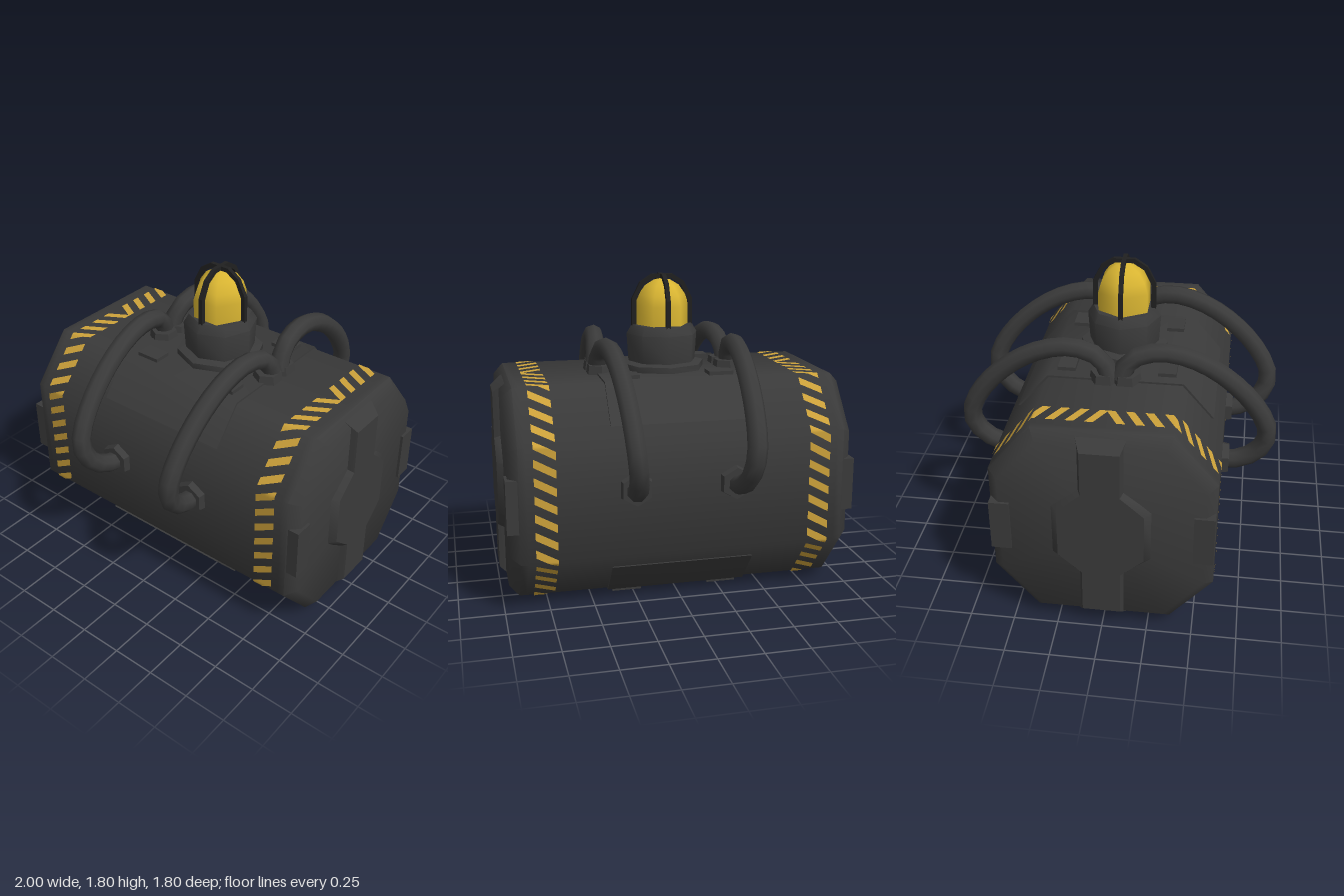
import * as THREE from 'three';
import { mergeGeometries, toCreasedNormals } from 'three/addons/utils/BufferGeometryUtils.js';

const MID = 0.645; // height of the tank axis

// Octagonal section as [z, y], starting under the axis and climbing the front
const OCTAGON = [[0.37, 0.045], [0.605, 0.32], [0.605, 0.97], [0.37, 1.245],
  [-0.37, 1.245], [-0.605, 0.97], [-0.605, 0.32], [-0.37, 0.045]];

// Closed solid along x: each ring is [x, scaleZ, scaleY] applied to the outline
function loft(outline, rings, crease = 0.95) {
  const n = outline.length, pos = [], idx = [];
  for (const [x, sz, sy] of rings)
    for (const [z, y] of outline) pos.push(x, MID + (y - MID) * sy, z * sz);
  for (let r = 0; r < rings.length - 1; r++)
    for (let i = 0; i < n; i++) {
      const a = r * n + i, b = r * n + (i + 1) % n;
      idx.push(a, a + n, b, b, a + n, b + n);
    }
  const last = (rings.length - 1) * n, c = rings.length * n;
  const cy = outline.reduce((s, p) => s + p[1], 0) / n;
  pos.push(rings[0][0], cy, 0, rings.at(-1)[0], cy, 0);
  for (let i = 0; i < n; i++) {
    const j = (i + 1) % n;
    idx.push(c, i, j, c + 1, last + j, last + i);
  }
  const g = new THREE.BufferGeometry();
  g.setAttribute('position', new THREE.Float32BufferAttribute(pos, 3));
  g.setIndex(idx);
  return toCreasedNormals(g, crease);
}

// Point on the tank skin at distance s round the section, from the bottom centre
function skinPoint(s) {
  const loop = [[0, 0.045], ...OCTAGON, [0, 0.045]];
  for (let i = 0; i < loop.length - 1; i++) {
    const [z0, y0] = loop[i], [z1, y1] = loop[i + 1];
    const len = Math.hypot(z1 - z0, y1 - y0);
    if (s <= len || i === loop.length - 2) {
      const t = s / len;
      return [z0 + (z1 - z0) * t, y0 + (y1 - y0) * t];
    }
    s -= len;
  }
}

// Slanted paint marks bent round the tank
function stripeBand(x) {
  const marks = [], total = 4.218, perHalf = 21, step = total / 2 / perHalf;
  for (let k = 0; k < perHalf * 2; k++) {
    const g = new THREE.PlaneGeometry(0.12, 0.046, 6, 6);
    const p = g.attributes.position;
    const slant = k < perHalf ? 0.55 : -0.55;
    for (let i = 0; i < p.count; i++) {
      const s = (k + 0.5) * step + p.getY(i) + p.getX(i) * slant;
      const [z, y] = skinPoint((s + total) % total);
      p.setXYZ(i, x + p.getX(i), MID + (y - MID) * 1.009, z * 1.009);
    }
    g.computeVertexNormals();
    marks.push(g);
  }
  return mergeGeometries(marks);
}

export function createModel() {
  const model = new THREE.Group();
  const mat = (name, color) => {
    const m = new THREE.MeshStandardMaterial({ color });
    m.name = name;
    return m;
  };
  const shell = mat('charcoal shell', 0x3a3a3a);
  const black = mat('black metal', 0x202020);
  const paint = mat('hazard yellow', 0xcda23a);
  const glass = mat('amber glass', 0xd9b532);

  const add = (name, geometry, material, x = 0, y = 0, z = 0, parent = model) => {
    const mesh = new THREE.Mesh(geometry, material);
    mesh.name = name;
    mesh.position.set(x, y, z);
    parent.add(mesh);
    return mesh;
  };

  // Tank with chamfered ends
  add('tank', loft(OCTAGON, [[-0.965, 0.91, 0.91], [-0.91, 1, 1], [-0.87, 1, 1],
    [0.87, 1, 1], [0.91, 1, 1], [0.965, 0.91, 0.91]]), shell);

  // Raised rib and side clasps on each end
  const rib = [[0.13, 0.05], [0.13, 0.35], [0.29, 0.48], [0.29, 0.81], [0.13, 0.94], [0.13, 1.24],
    [-0.13, 1.24], [-0.13, 0.94], [-0.29, 0.81], [-0.29, 0.48], [-0.13, 0.35], [-0.13, 0.05]];
  for (const side of [1, -1]) {
    const end = new THREE.Group();
    end.name = side > 0 ? 'leftEnd' : 'rightEnd';
    end.rotation.y = side > 0 ? 0 : Math.PI;
    model.add(end);
    add('endRib', loft(rib, [[0.9, 1, 1], [0.94, 1, 0.965], [1, 0.8, 0.88]], 0.7), shell, 0, 0, 0, end);
    for (const z of [-0.545, 0.545])
      add('endClasp', new THREE.BoxGeometry(0.07, 0.3, 0.11), shell, 0.945, MID, z, end);
    add('hazardStripes', stripeBand(side * 0.77), paint);
  }

  // Wrapped panels above and below
  const topPanel = [[0.55, 1.05], [0.376, 1.256], [-0.376, 1.256], [-0.55, 1.05]];
  const bottomPanel = topPanel.map(([z, y]) => [z, 2 * MID - y]).reverse();
  add('topPanel', loft(topPanel, [[-0.405, 1, 1], [0.405, 1, 1]]), shell);
  add('bottomPanel', loft(bottomPanel, [[-0.405, 1, 1], [0.405, 1, 1]]), shell);

  // Hoses with hexagonal sockets, small top pads and feet, in each quarter
  const path = [[0.03, 1.26], [0.07, 1.36], [0.15, 1.405], [0.27, 1.42], [0.43, 1.38], [0.6, 1.28],
    [0.76, 1.12], [0.845, 0.96], [0.84, 0.86], [0.79, 0.78], [0.7, 0.72], [0.6, 0.7]];
  const socket = (r, h) => toCreasedNormals(new THREE.CylinderGeometry(r * 0.9, r, h, 6), 0.5);
  for (const sx of [-1, 1])
    for (const sz of [-1, 1]) {
      const points = path.map(([z, y], i) =>
        new THREE.Vector3(sx * (0.395 - 0.115 * i / (path.length - 1)), y, sz * z));
      add('hose', new THREE.TubeGeometry(new THREE.CatmullRomCurve3(points), 18, 0.055, 8), shell);
      add('topSocket', socket(0.085, 0.05), shell, sx * 0.38, 1.27, sz * 0.06);
      add('sideSocket', socket(0.1, 0.05), shell, sx * 0.28, 0.71, sz * 0.62).rotation.x = sz * Math.PI / 2;
      add('topPad', new THREE.BoxGeometry(0.14, 0.03, 0.1), shell, sx * 0.27, 1.262, sz * 0.28);
      add('foot', new THREE.BoxGeometry(0.17, 0.06, 0.115), shell, sx * 0.285, 0.03, sz * 0.27);
    }

  // Beacon: octagonal neck, six-sided glass dome and crossed guard bars
  const lathe = (profile, sides, start = 0) =>
    new THREE.LatheGeometry(profile.map(([r, y]) => new THREE.Vector2(r, y)), sides, start);
  add('beaconNeck', toCreasedNormals(lathe([[0.25, 1.25], [0.25, 1.29], [0.2, 1.3], [0.21, 1.46],
    [0.18, 1.51], [0, 1.51]], 8), 0.85), shell);
  add('beaconDome', lathe([[0.16, 1.5], [0.16, 1.62], [0.14, 1.68], [0.1, 1.735], [0.05, 1.765],
    [0, 1.775]], 6, Math.PI / 6), glass);
  const half = [[0.18, 1.49], [0.178, 1.66], [0.13, 1.755], [0.06, 1.8]];
  const inner = [[0.152, 1.49], [0.152, 1.65], [0.112, 1.735], [0.05, 1.775]];
  const mirror = pts => pts.map(([x, y]) => [-x, y]).reverse();
  const arch = new THREE.Shape([...half, ...mirror(half), ...mirror(mirror(mirror(inner))).reverse(),
    ...inner.slice().reverse()].map(([x, y]) => new THREE.Vector2(x, y)));
  const bar = new THREE.ExtrudeGeometry(arch, { depth: 0.024, bevelEnabled: false }).translate(0, 0, -0.012);
  add('guardBar', bar, black);
  add('guardBar', bar, black).rotation.y = Math.PI / 2;

  return model;
}
